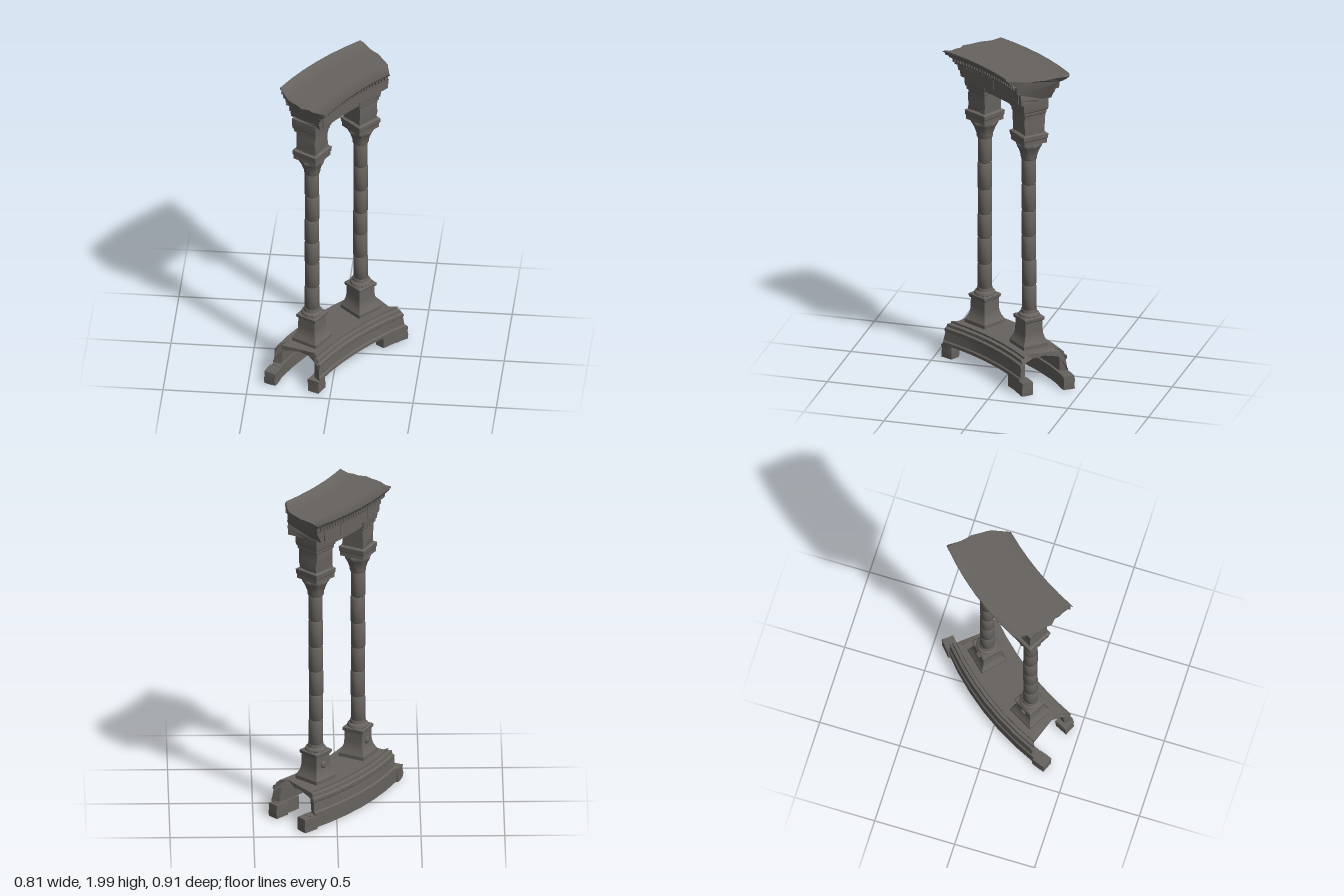
import * as THREE from 'three';
import { toCreasedNormals } from 'three/addons/utils/BufferGeometryUtils.js';

const R = 1.8; // curve radius of the colonnade
const bend = (t) => (t * t) / (2 * R);
const stone = new THREE.MeshStandardMaterial({ color: 0x67635f });
stone.name = 'weatheredStone';

let seed = 7;
const rnd = () => {
  seed = (seed * 16807) % 2147483647;
  return seed / 2147483647 - 0.5;
};
const lerp = THREE.MathUtils.lerp;

// piecewise-linear lookup through [x, value] pairs
function along(pairs, x) {
  for (let i = 1; i < pairs.length; i++) {
    const [a, va] = pairs[i - 1], [b, vb] = pairs[i];
    if (x <= b) return lerp(va, vb, THREE.MathUtils.clamp((x - a) / (b - a), 0, 1));
  }
  return pairs[pairs.length - 1][1];
}

function add(parent, geo, name, crease = 0.6) {
  const mesh = new THREE.Mesh(toCreasedNormals(geo, crease), stone);
  mesh.name = name;
  parent.add(mesh);
  return mesh;
}

// sweeps an [offset, y] outline (counter-clockwise) along the curve between ragged ends
function sweep(outline, lo, hi, steps = 6, rough = 0) {
  const n = outline.length, pos = [], idx = [];
  const ends = outline.map(([o, y]) => [lo(o, y) + rnd() * rough, hi(o, y) + rnd() * rough]);
  for (let i = 0; i <= steps; i++) {
    outline.forEach(([o, y], j) => {
      const t = lerp(ends[j][0], ends[j][1], i / steps);
      pos.push(t, y, o + bend(t));
    });
  }
  for (let i = 0; i < steps; i++) {
    for (let j = 0; j < n; j++) {
      const a = i * n + j, b = i * n + ((j + 1) % n);
      idx.push(a, a + n, b, b, a + n, b + n);
    }
  }
  const faces = THREE.ShapeUtils.triangulateShape(outline.map((p) => new THREE.Vector2(...p)), []);
  const k = steps * n;
  for (const [a, b, c] of faces) idx.push(a, b, c, k + a, k + c, k + b);
  const geo = new THREE.BufferGeometry();
  geo.setAttribute('position', new THREE.Float32BufferAttribute(pos, 3));
  geo.setIndex(idx);
  return geo;
}

// symmetric outline from its right half, listed bottom to top
const mirror = (half) => [...half, ...half.map(([o, y]) => [-o, y]).reverse()];

// square or round stack of [halfWidth, y] rings, closed at both ends
function stack(rings, sides) {
  const f = sides === 4 ? Math.SQRT2 : 1;
  const pts = [[0.0001, rings[0][1]], ...rings, [0.0001, rings[rings.length - 1][1]]];
  const geo = new THREE.LatheGeometry(pts.map(([r, y]) => new THREE.Vector2(r * f, y)), sides);
  return sides === 4 ? geo.rotateY(Math.PI / 4) : geo;
}

// box with worn, slightly irregular sides
function wornBox(w, h, d, wear) {
  const geo = new THREE.BoxGeometry(w, h, d, 2, 3, 2);
  const p = geo.attributes.position, shift = new Map();
  for (let i = 0; i < p.count; i++) {
    const v = [p.getX(i), p.getY(i), p.getZ(i)];
    const key = v.map((c) => c.toFixed(3)).join();
    if (!shift.has(key)) shift.set(key, [rnd() * wear, rnd() * wear * 0.4, rnd() * wear]);
    const s = shift.get(key);
    const edge = [w, h, d].filter((size, a) => Math.abs(v[a]) > size * 0.49).length;
    const pull = edge > 1 ? 0.95 : 1;
    p.setXYZ(i, v[0] * pull + s[0], v[1] * (edge > 2 ? 0.97 : 1) + s[1], v[2] * pull + s[2]);
  }
  return geo;
}

function makeColumn(name) {
  const col = new THREE.Group();
  col.name = name;

  // flared pedestal with a moulded top
  add(col, stack([[0.086, 0.23], [0.086, 0.258], [0.08, 0.268], [0.069, 0.29], [0.062, 0.315], [0.06, 0.34],
    [0.059, 0.395], [0.067, 0.402], [0.069, 0.42], [0.062, 0.426]], 4), 'pedestal', 0.35);
  add(col, stack([[0.06, 0.42], [0.066, 0.428], [0.062, 0.44], [0.05, 0.448], [0.047, 0.465]], 24), 'columnBase');
  const boss = add(col, new THREE.IcosahedronGeometry(0.022, 1), 'pedestalOrnament');
  boss.position.set(0, 0.34, -0.062);
  boss.scale.set(1, 1.1, 0.6);

  // stacked drums, each a little out of line
  const joints = [0.46, 0.62, 0.785, 0.94, 1.1, 1.27, 1.445];
  for (let i = 0; i < 6; i++) {
    const a = joints[i], b = joints[i + 1], r = 0.0435 - (i === 5 ? 0.001 : 0);
    const drum = add(col, stack([[r - 0.004, a], [r, a + 0.008], [r, (a + b) / 2], [r, b - 0.008], [r - 0.004, b]], 20), 'drum', 0.9);
    drum.position.set(rnd() * 0.006, 0, rnd() * 0.006);
  }

  // leafy bell capital
  const bell = stack([[0.045, 1.432], [0.049, 1.442], [0.05, 1.46], [0.056, 1.478], [0.061, 1.495],
    [0.069, 1.512], [0.077, 1.526], [0.077, 1.538], [0.066, 1.552]], 32);
  const p = bell.attributes.position;
  for (let i = 0; i < p.count; i++) {
    const k = THREE.MathUtils.clamp((p.getY(i) - 1.45) / 0.08, 0, 1);
    const s = 1 + 0.06 * k * Math.cos(8 * Math.atan2(p.getZ(i), p.getX(i)));
    p.setXYZ(i, p.getX(i) * s, p.getY(i), p.getZ(i) * s);
  }
  add(col, bell, 'capital', 0.7);

  // block between two moulded slabs
  add(col, stack([[0.079, 1.546], [0.079, 1.572], [0.083, 1.578], [0.085, 1.605], [0.074, 1.612]], 4), 'lowerSlab', 0.3);
  add(col, wornBox(0.146, 0.138, 0.146, 0.01), 'impostBlock', 0.3).position.y = 1.675;
  add(col, stack([[0.072, 1.736], [0.077, 1.742], [0.077, 1.758], [0.083, 1.764], [0.086, 1.785], [0.086, 1.835]], 4), 'upperSlab', 0.3);
  return col;
}

export function createModel() {
  const model = new THREE.Group();
  model.name = 'ruinedColonnade';
  const root = new THREE.Group();
  root.name = 'colonnade';
  root.position.set(-0.019, 0, 0.027);
  root.rotation.y = 0.941;
  model.add(root);

  const placed = (obj, t, o) => {
    obj.position.x = t;
    obj.position.z = o + bend(t);
    obj.rotation.y = -Math.atan(t / R);
  };

  // hollow stepped base, its floor broken back between the two side walls
  const base = mirror([[0.125, 0.092], [0.175, 0.092], [0.175, 0.11], [0.167, 0.118], [0.161, 0.172], [0.166, 0.178],
    [0.166, 0.196], [0.152, 0.202], [0.15, 0.22], [0.13, 0.224], [0.13, 0.236], [0.1, 0.236], [0.05, 0.236]]);
  base.push([-0.12, 0.19], [-0.05, 0.195], [0.05, 0.195], [0.12, 0.19]);
  add(root, sweep(base,
    (o) => along([[-0.17, -0.405], [-0.12, -0.375], [-0.1, -0.33], [0.1, -0.315], [0.12, -0.345], [0.17, -0.365]], o),
    (o) => along([[-0.17, 0.43], [-0.12, 0.4], [-0.1, 0.36], [0.1, 0.345], [0.12, 0.375], [0.17, 0.395]], o),
    6, 0.014), 'steppedBase', 0.3);

  // bottom course: long back wall, short remains at the front
  const course = (o, a, b) => add(root, sweep(
    [[o - 0.03, 0.012], [o + 0.03, 0.012], [o + 0.03, 0.095], [o - 0.03, 0.095]],
    () => a, () => b), 'bottomCourse', 0.3);
  course(-0.14, -0.42, 0.45);
  course(0.138, 0.24, 0.4);
  for (const [t, o, w] of [[-0.455, -0.142, 0.09], [0.455, -0.145, 0.1], [-0.345, 0.134, 0.085], [0.385, 0.132, 0.095]]) {
    const block = add(root, wornBox(w, 0.085, 0.076, 0.006), 'footBlock', 0.5);
    block.position.y = 0.05;
    placed(block, t, o);
  }

  // columns
  for (const [t, name] of [[-0.211, 'rightColumn'], [0.224, 'leftColumn']]) {
    const col = makeColumn(name);
    placed(col, t, 0);
    root.add(col);
  }

  // lintel on the columns
  add(root, sweep(mirror([[0.078, 1.768], [0.078, 1.795], [0.086, 1.8], [0.086, 1.84]]),
    () => -0.27, () => 0.29), 'lintel', 0.3);

  // entablature with a slightly dished top and broken ends
  const top = mirror([[0.116, 1.828], [0.117, 1.865], [0.121, 1.868], [0.122, 1.9], [0.136, 1.906], [0.14, 1.918],
    [0.141, 1.948], [0.163, 1.951], [0.168, 1.964], [0.178, 1.968], [0.189, 1.985], [0.195, 1.99], [0.195, 2.0],
    [0.143, 1.986], [0.1, 1.984], [0.065, 1.984], [0.025, 1.984]]);
  top.push([-0.06, 1.828], [0, 1.828], [0.06, 1.828]);
  const fall = (y) => THREE.MathUtils.clamp((1.98 - y) / 0.15, 0, 1);
  const lowEnd = (o, y) => lerp(along([[-0.195, -0.29], [-0.09, -0.335], [0.017, -0.352], [0.195, -0.338]], o), -0.28, fall(y));
  const highEnd = (o, y) => lerp(along([[-0.195, 0.415], [-0.03, 0.382], [0.1, 0.329], [0.195, 0.26]], o), 0.315, fall(y));
  add(root, sweep(top, lowEnd, highEnd, 6, 0.02), 'entablature', 0.3);

  // dentils along both faces
  const dentil = new THREE.BoxGeometry(0.014, 0.022, 0.016);
  for (const o of [-0.145, 0.145]) {
    for (let t = lowEnd(o, 1.935) + 0.02; t < highEnd(o, 1.935) - 0.015; t += 0.024) {
      const d = add(root, dentil, 'dentil');
      d.position.y = 1.936;
      placed(d, t, o);
    }
  }

  // slightly raised frieze stones on both faces
  for (const o of [-0.121, 0.121]) {
    for (let i = 0; i < 4; i++) {
      const plate = add(root, new THREE.BoxGeometry(0.136, 0.066, 0.009), 'friezeStone');
      plate.position.y = 1.865;
      placed(plate, -0.19 + i * 0.138, o);
    }
  }
  return model;
}
